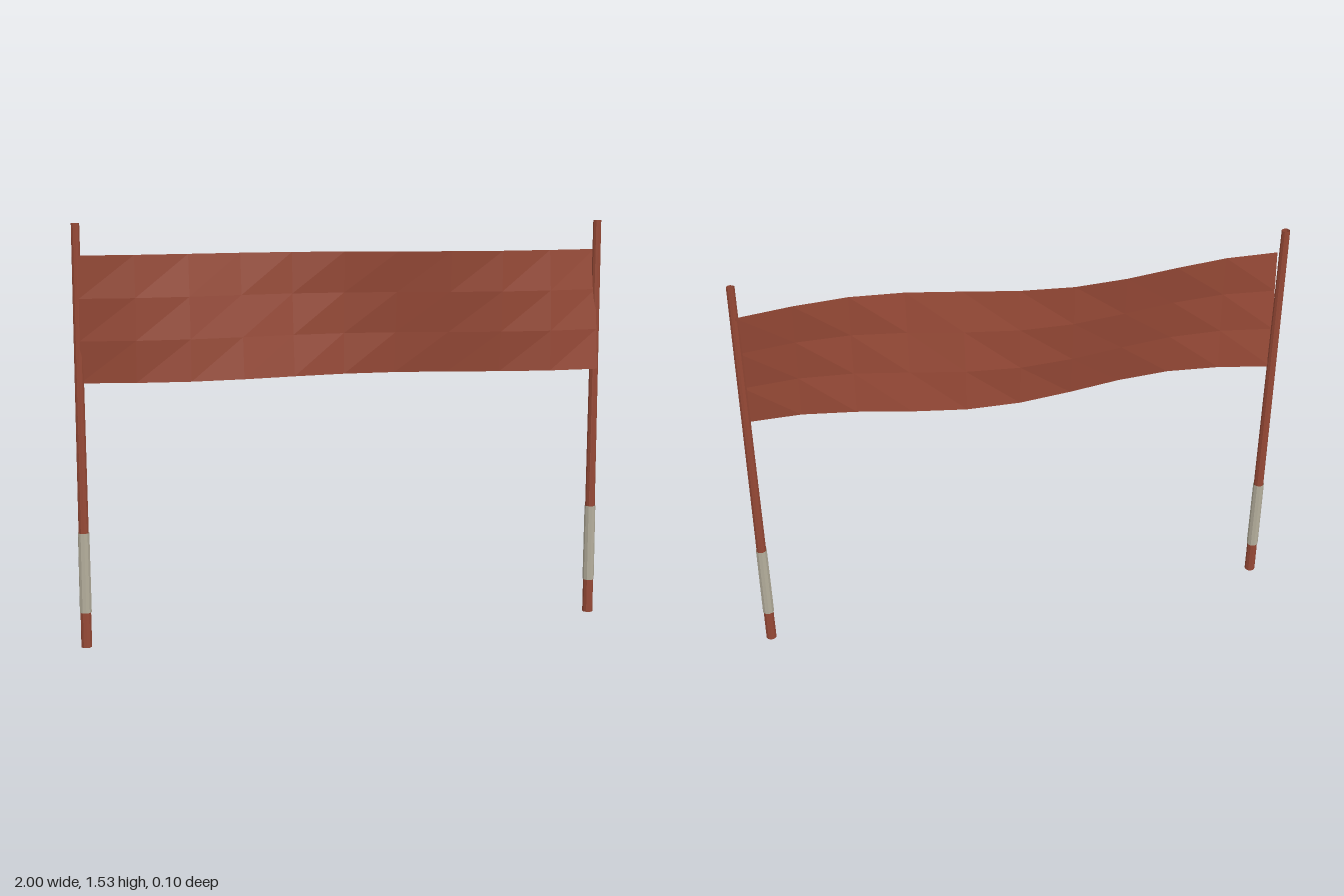
import * as THREE from 'three';

export function createModel() {
  const model = new THREE.Group();
  const brown = new THREE.MeshStandardMaterial({ name: 'red brown', color: 0x964936, flatShading: true, side: THREE.DoubleSide });
  const grey = new THREE.MeshStandardMaterial({ name: 'warm grey', color: 0xb4ae9c, flatShading: true, side: THREE.DoubleSide });

  // Open tapered tube standing between two heights
  function tube(name, rTop, rBottom, y0, y1, material) {
    const geo = new THREE.CylinderGeometry(rTop, rBottom, y1 - y0, 10, 1, true);
    geo.translate(0, (y0 + y1) / 2, 0);
    const mesh = new THREE.Mesh(geo, material);
    mesh.name = name;
    return mesh;
  }

  // Two tapered poles, each with a grip sleeve
  for (const side of [-1, 1]) {
    const post = new THREE.Group();
    post.name = side > 0 ? 'leftPost' : 'rightPost';
    post.add(tube('pole', 0.015, 0.02, 0, 1.53, brown));
    post.add(tube('sleeve', 0.021, 0.022, 0.13, 0.425, grey));
    post.position.x = side * 0.978;
    model.add(post);
  }

  // Banner cloth: a wave whose phase shifts with height
  const bottom = 0.967, top = 1.42;
  const cloth = new THREE.PlaneGeometry(1.95, top - bottom, 10, 3);
  cloth.translate(0, (top + bottom) / 2, 0);
  const p = cloth.attributes.position;
  for (let i = 0; i < p.count; i++) {
    const t = (p.getY(i) - bottom) / (top - bottom);
    p.setZ(i, 0.05 * Math.cos(4.36 * (p.getX(i) + 0.61 + 0.29 * t)));
  }
  cloth.computeVertexNormals();
  const banner = new THREE.Mesh(cloth, brown);
  banner.name = 'banner';
  model.add(banner);

  return model;
}
